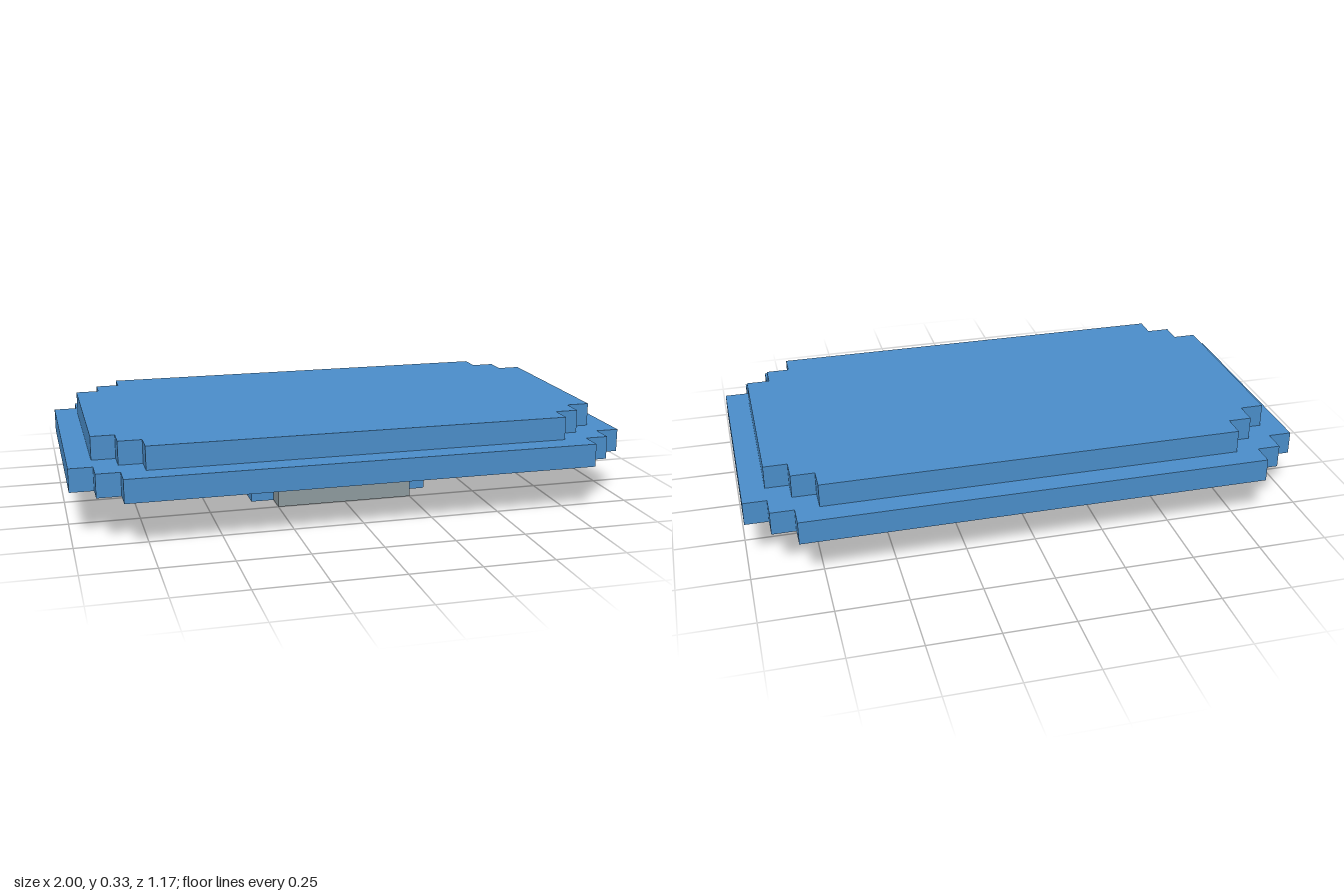
import * as THREE from 'three';

const U = 1 / 12; // one grid step

// Rectangle outline with two-step notched corners; x, z are the half extents in steps
function steppedOutline(x, z, PathType = THREE.Shape) {
  const corner = [[x, z - 2], [x - 1, z - 2], [x - 1, z - 1], [x - 2, z - 1], [x - 2, z]];
  const mirrored = [...corner].reverse().map(([a, b]) => [-a, b]);
  const half = [...corner, ...mirrored];
  const points = [...half, ...half.map(([a, b]) => [-a, -b])];
  return new PathType(points.map(([a, b]) => new THREE.Vector2(a * U, b * U)));
}

export function createModel() {
  const group = new THREE.Group();
  const blue = new THREE.MeshStandardMaterial({ color: 0x4a8dc9 });
  blue.name = 'blue';
  const grey = new THREE.MeshStandardMaterial({ color: 0x8d9a9e });
  grey.name = 'grey';

  function add(name, geometry, material, x, y, z) {
    const mesh = new THREE.Mesh(geometry, material);
    mesh.name = name;
    mesh.position.set(x * U, y * U, z * U);
    group.add(mesh);
  }

  // One-step-thick slab standing on level y
  function slab(name, shape, material, y) {
    const geometry = new THREE.ExtrudeGeometry(shape, { depth: U, bevelEnabled: false });
    geometry.rotateX(-Math.PI / 2);
    add(name, geometry, material, 0, y, 0);
  }

  // One-step-high box from half width, depth and its base level
  function block(name, halfX, depth, material, y, z = 0) {
    add(name, new THREE.BoxGeometry(2 * halfX * U, U, depth * U), material, 0, y + 0.5, z);
  }

  // Top plate, and the wider rim around a grey core flush with its underside
  slab('topPlate', steppedOutline(11, 6), blue, 3);
  const rim = steppedOutline(12, 7);
  rim.holes.push(steppedOutline(11, 6, THREE.Path));
  slab('rim', rim, blue, 2);
  slab('core', steppedOutline(11, 6), grey, 2);

  // Underside base and foot with grey side strips
  block('base', 8, 6, grey, 1);
  block('foot', 4, 4, blue, 0);
  for (const side of [-1, 1]) block(side > 0 ? 'frontStrip' : 'backStrip', 3, 1, grey, 0, side * 2.5);

  return group;
}
